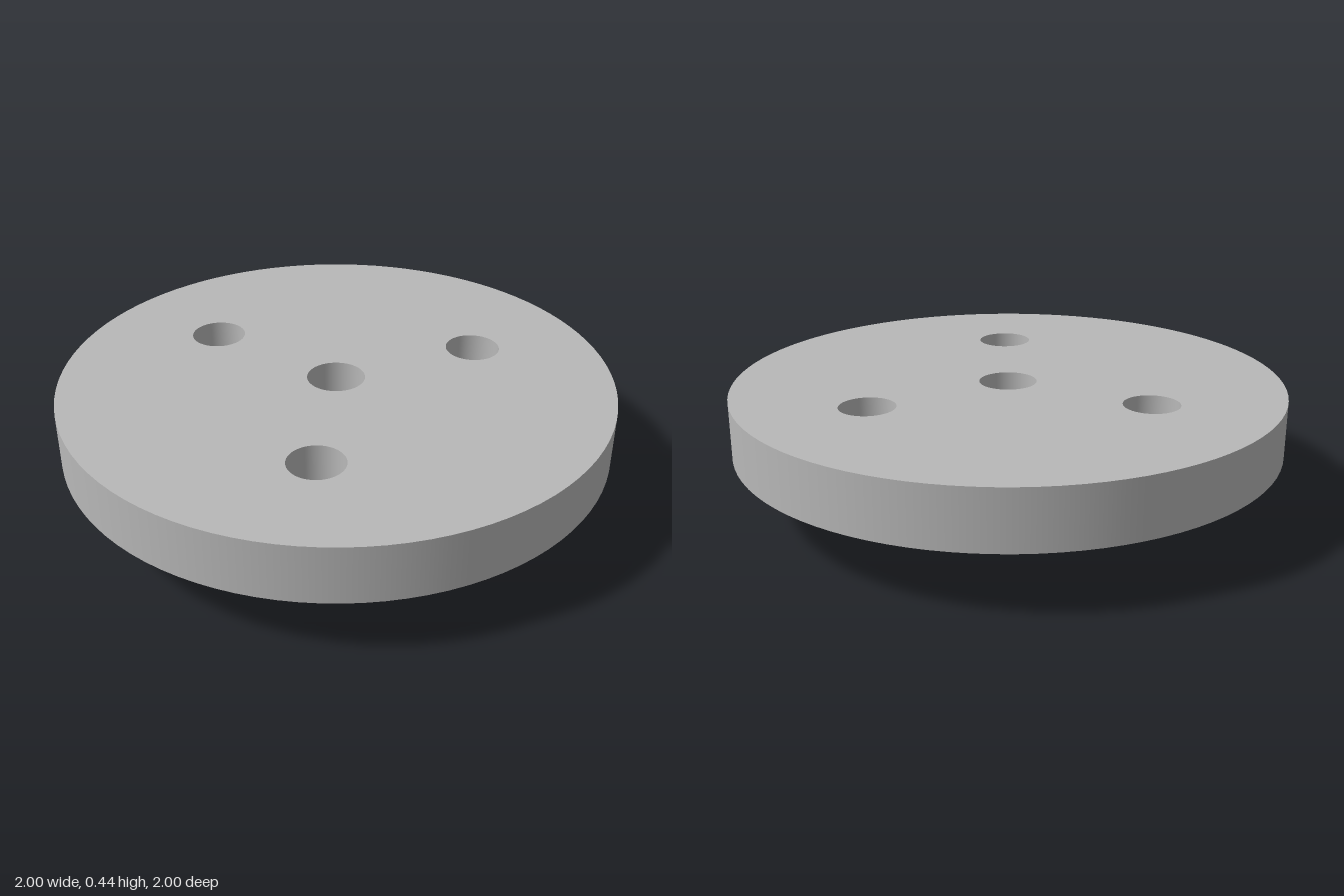
import * as THREE from 'three';
import { ParametricGeometry } from 'three/addons/geometries/ParametricGeometry.js';

const SEG = 96;
const TOP = 0.44, MID = 0.23;                 // disc top, disc underside / hub top
const R_DISC = 1, R_HUB = 0.525, R_BORE = 0.295, R_AXLE = 0.105;
const R_BLIND = 0.1, BLIND_AT = 0.563, BLIND_DEPTH = 0.16;
const R_SCREW = 0.058, SCREW_Y = MID / 2;     // radial set-screw holes
const SLOT_IN = 0.36, SLOT_OUT = 0.43, SLOT_HALF = 0.1, SLOT_TOP = 0.2;

const circle = (x, y, r) => new THREE.Path().absarc(x, y, r, 0, Math.PI * 2, true);
const disc = (r) => new THREE.Shape().absarc(0, 0, r, 0, Math.PI * 2, false);
const rect = (Type, x0, y0, x1, y1) => new Type(
  [[x0, y0], [x1, y0], [x1, y1], [x0, y1]].map(([x, y]) => new THREE.Vector2(x, y)));

export function createModel() {
  const model = new THREE.Group();
  const grey = new THREE.MeshStandardMaterial({ color: 0xb8b8b8, side: THREE.DoubleSide });
  grey.name = 'plain grey';

  const add = (name, geometry, parent = model) => {
    const mesh = new THREE.Mesh(geometry, grey);
    mesh.name = name;
    parent.add(mesh);
    return mesh;
  };
  const face = (shape, y, up) =>
    new THREE.ShapeGeometry(shape, SEG / 2).rotateX(up ? -Math.PI / 2 : Math.PI / 2).translate(0, y, 0);
  const tube = (r, y0, y1, start = 0, length = Math.PI * 2) =>
    new THREE.CylinderGeometry(r, r, y1 - y0, Math.ceil(SEG * length / (Math.PI * 2)), 1, true, start, length)
      .translate(0, (y0 + y1) / 2, 0);

  // Disc: top with axle hole and three blind holes
  const topShape = disc(R_DISC);
  topShape.holes.push(circle(0, 0, R_AXLE));
  for (let i = 0; i < 3; i++) {
    const a = Math.PI / 2 + i * Math.PI * 2 / 3;
    const x = BLIND_AT * Math.cos(a), y = BLIND_AT * Math.sin(a);
    topShape.holes.push(circle(x, y, R_BLIND));
    add('blindHoleWall', tube(R_BLIND, TOP - BLIND_DEPTH, TOP)).position.set(x, 0, -y);
    add('blindHoleFloor', face(disc(R_BLIND), TOP - BLIND_DEPTH, true)).position.set(x, 0, -y);
  }
  add('discTop', face(topShape, TOP, true));
  add('discRim', tube(R_DISC, MID, TOP));
  add('axleHoleWall', tube(R_AXLE, MID, TOP));
  const underside = disc(R_DISC);
  underside.holes.push(circle(0, 0, R_HUB));
  add('discUnderside', face(underside, MID, false));
  const ceiling = disc(R_BORE);
  ceiling.holes.push(circle(0, 0, R_AXLE));
  add('boreCeiling', face(ceiling, MID, false));

  // Hub bottom with bore and two nut slots
  const bottom = disc(R_HUB);
  bottom.holes.push(circle(0, 0, R_BORE),
    rect(THREE.Path, SLOT_IN, -SLOT_HALF, SLOT_OUT, SLOT_HALF),
    rect(THREE.Path, -SLOT_HALF, -SLOT_OUT, SLOT_HALF, -SLOT_IN));
  add('hubBottom', face(bottom, 0, false));

  // Hub and bore walls, leaving square gaps for the pierced patches
  for (const [name, r] of [['hubWall', R_HUB], ['boreWall', R_BORE]]) {
    const a = Math.asin(SCREW_Y / r);
    add(name, tube(r, 0, MID, Math.PI / 2 + a, Math.PI / 2 - 2 * a));
    add(name, tube(r, 0, MID, Math.PI + a, Math.PI * 1.5 - 2 * a));
  }

  // Curved square patch with a round hole
  const piercedPatch = (r) => new ParametricGeometry((u, v, p) => {
    const a = u * Math.PI * 2, c = Math.cos(a), s = Math.sin(a);
    const k = THREE.MathUtils.lerp(R_SCREW, SCREW_Y / Math.max(Math.abs(c), Math.abs(s)), v);
    p.set(Math.sqrt(r * r - k * k * c * c), SCREW_Y + k * s, k * c);
  }, 48, 6);

  // Radial hole wall between a flat plane and a cylinder
  const screwBore = (flatX, r) => new ParametricGeometry((u, v, p) => {
    const a = u * Math.PI * 2, z = R_SCREW * Math.cos(a);
    p.set(THREE.MathUtils.lerp(flatX, Math.sqrt(r * r - z * z), v), SCREW_Y + R_SCREW * Math.sin(a), z);
  }, 48, 1);

  // Set-screw holes and nut slots, at +x and at -z
  for (const angle of [0, Math.PI / 2]) {
    const g = new THREE.Group();
    g.name = 'setScrewHole';
    g.rotation.y = angle;
    model.add(g);
    add('hubWallPatch', piercedPatch(R_HUB), g);
    add('boreWallPatch', piercedPatch(R_BORE), g);
    add('outerScrewBore', screwBore(SLOT_OUT, R_HUB), g);
    add('innerScrewBore', screwBore(SLOT_IN, R_BORE), g);

    const plate = rect(THREE.Shape, -SLOT_HALF, 0, SLOT_HALF, SLOT_TOP);
    plate.holes.push(circle(0, SCREW_Y, R_SCREW));
    for (const [x, turn] of [[SLOT_IN, 1], [SLOT_OUT, -1]]) {
      add('slotWall', new THREE.ShapeGeometry(plate, 24).rotateY(turn * Math.PI / 2).translate(x, 0, 0), g);
    }
    const width = SLOT_OUT - SLOT_IN, x = (SLOT_IN + SLOT_OUT) / 2;
    for (const s of [-1, 1]) {
      add('slotEnd', new THREE.PlaneGeometry(width, SLOT_TOP)
        .rotateY(s > 0 ? Math.PI : 0).translate(x, SLOT_TOP / 2, s * SLOT_HALF), g);
    }
    add('slotCeiling', new THREE.PlaneGeometry(width, 2 * SLOT_HALF)
      .rotateX(Math.PI / 2).translate(x, SLOT_TOP, 0), g);
  }
  return model;
}
